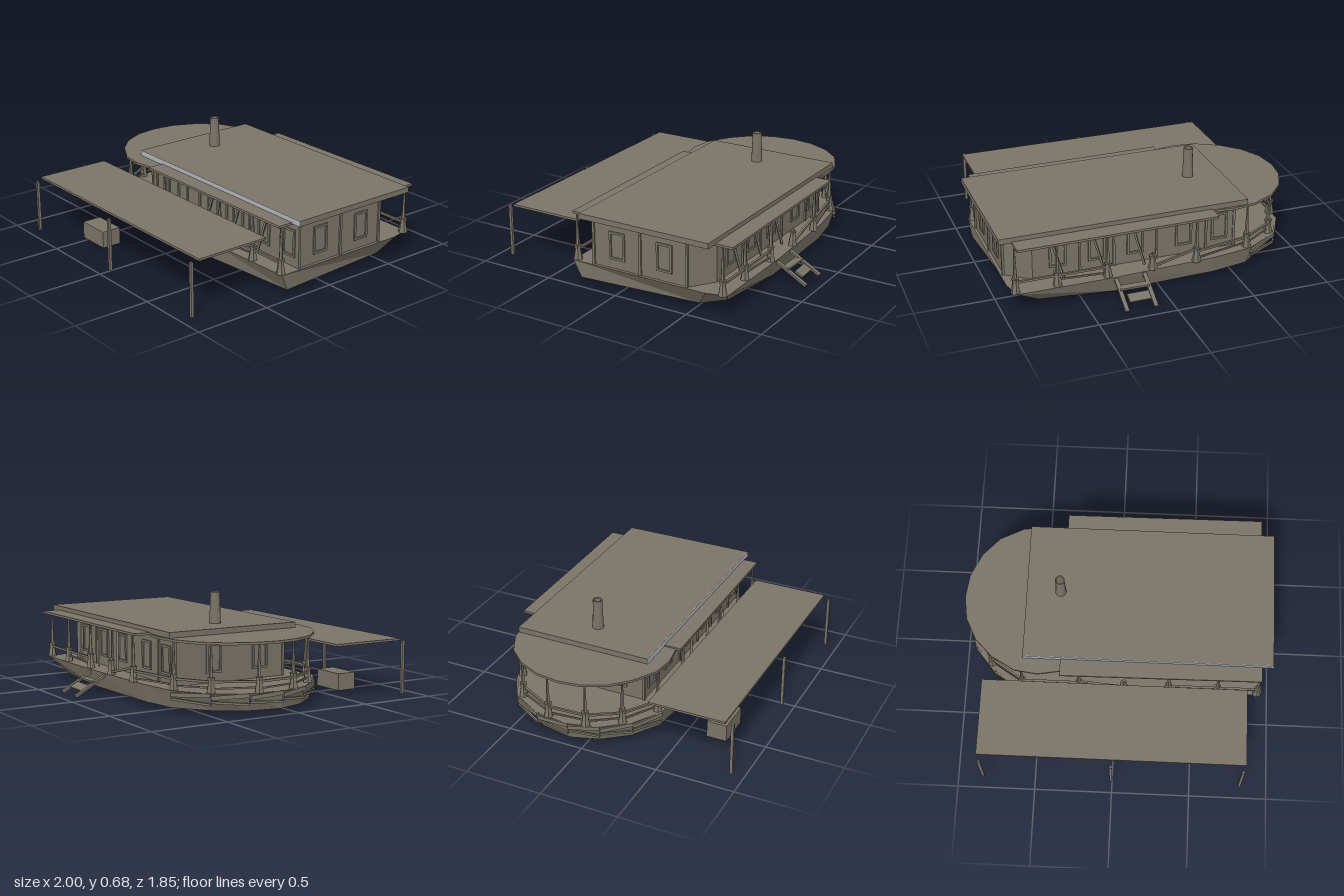
import * as THREE from 'three';

const timber = new THREE.MeshStandardMaterial({ color: 0x7a7468, flatShading: true, side: THREE.DoubleSide });
timber.name = 'weatheredTimber';
const pale = new THREE.MeshStandardMaterial({ color: 0xb4b7bc });
pale.name = 'paleTrim';

export function createModel() {
  const root = new THREE.Group();
  root.name = 'houseboat';

  const add = (name, geo, x = 0, y = 0, z = 0, mat = timber) => {
    const m = new THREE.Mesh(geo, mat);
    m.name = name;
    m.position.set(x, y, z);
    root.add(m);
    return m;
  };
  // Box given by its limits on each axis
  const block = (name, x0, x1, y0, y1, z0, z1, mat) =>
    add(name, new THREE.BoxGeometry(x1 - x0, y1 - y0, z1 - z0), (x0 + x1) / 2, (y0 + y1) / 2, (z0 + z1) / 2, mat);
  // Flat-topped prism from a plan outline of [x, z] points
  const prism = (name, outline, y0, y1) => {
    const shape = new THREE.Shape(outline.map(([x, z]) => new THREE.Vector2(x, -z)));
    const geo = new THREE.ExtrudeGeometry(shape, { depth: y1 - y0, bevelEnabled: false });
    return add(name, geo.rotateX(-Math.PI / 2), 0, y0, 0);
  };
  // Square beam between two points
  const beam = (name, a, b, w = 0.014, h = w) => {
    const p = new THREE.Vector3(...a), q = new THREE.Vector3(...b);
    const m = add(name, new THREE.BoxGeometry(w, h, p.distanceTo(q)));
    m.position.copy(p).add(q).multiplyScalar(0.5);
    m.lookAt(q);
    return m;
  };

  // Hull: straight-sided stern, faceted round bow, bottom drawn in at the corners
  const deckLine = [
    [0.95, 0.34], [0.3, 0.36], [-0.36, 0.36], [-0.62, 0.36], [-0.8, 0.25], [-0.93, 0.09], [-0.98, -0.1],
    [-0.96, -0.32], [-0.85, -0.52], [-0.63, -0.66], [-0.36, -0.7], [0.3, -0.73], [0.92, -0.73], [0.95, -0.6]];
  const keelLine = [
    [0.94, 0.29], [0.3, 0.35], [-0.36, 0.36], [-0.6, 0.34], [-0.78, 0.23], [-0.9, 0.08], [-0.96, -0.1],
    [-0.92, -0.31], [-0.8, -0.49], [-0.6, -0.64], [-0.36, -0.68], [0.3, -0.7], [0.76, -0.64], [0.88, -0.52]];
  const n = deckLine.length, pos = [], idx = [];
  deckLine.forEach(([x, z]) => pos.push(x, 0.14, z));
  keelLine.forEach(([x, z]) => pos.push(x, 0.03, z));
  for (let i = 0; i < n; i++) {
    const j = (i + 1) % n;
    idx.push(i, j, n + i, j, n + j, n + i);
    if (i > 0 && i < n - 1) idx.push(0, i + 1, i, n, n + i, n + i + 1);
  }
  const hull = new THREE.BufferGeometry();
  hull.setAttribute('position', new THREE.Float32BufferAttribute(pos, 3));
  hull.setIndex(idx);
  const hullFlat = hull.toNonIndexed();
  hullFlat.computeVertexNormals();
  add('hull', hullFlat);

  // Loose planks round the bow
  for (let i = 3; i < 9; i++) {
    const [x0, z0] = deckLine[i], [x1, z1] = deckLine[i + 1];
    beam('bowPlank', [x0, 0.13, z0], [x1, 0.115, z1], 0.018, 0.025);
    beam('bowPlank', [x0, 0.075, z0], [x1, 0.09, z1], 0.012, 0.014);
  }

  // Cabin with a cut-off rear corner
  prism('cabin', [[0.93, 0.2], [-0.54, 0.2], [-0.54, -0.58], [0.78, -0.58], [0.93, -0.47]], 0.14, 0.445);
  for (const [x, z] of [[0.932, 0.195], [0.932, -0.14], [0.932, -0.465], [-0.54, 0.198], [-0.54, -0.578]])
    block('cornerBoard', x - 0.008, x + 0.008, 0.14, 0.445, z - 0.008, z + 0.008);
  for (const x of [-0.35, -0.02, 0.26, 0.48, 0.78]) for (const z of [0.203, -0.583])
    if (x < 0.75 || z > 0) block('wallBatten', x - 0.007, x + 0.007, 0.14, 0.445, z - 0.006, z + 0.006);

  // Windows: raised frame round a thin pane
  const windowAt = (x, z, turn, w = 0.11, h = 0.18) => {
    const frame = new THREE.Shape();
    frame.moveTo(-w / 2, -h / 2).lineTo(w / 2, -h / 2).lineTo(w / 2, h / 2).lineTo(-w / 2, h / 2);
    const hole = new THREE.Path(), a = w / 2 - 0.014, b = h / 2 - 0.014;
    hole.moveTo(-a, -b).lineTo(-a, b).lineTo(a, b).lineTo(a, -b);
    frame.holes.push(hole);
    const f = add('windowFrame', new THREE.ExtrudeGeometry(frame, { depth: 0.009, bevelEnabled: false }), x, 0.29, z);
    f.rotation.y = turn;
  };
  for (const z of [0.025, -0.31]) {
    windowAt(0.93, z, Math.PI / 2);
    windowAt(-0.54, z, -Math.PI / 2);
  }
  for (const x of [-0.44, -0.2, 0.12, 0.37, 0.62, 0.85]) windowAt(x, 0.2, 0);
  for (const x of [-0.44, -0.2, 0.12, 0.37, 0.62]) windowAt(x, -0.58, Math.PI);

  // Roofs: round bow canopy, two side awnings and the main slab
  prism('bowCanopy', [
    [-0.36, 0.33], [-0.5, 0.355], [-0.65, 0.335], [-0.8, 0.25], [-0.91, 0.14], [-0.98, 0], [-1, -0.15],
    [-0.98, -0.3], [-0.91, -0.45], [-0.8, -0.57], [-0.65, -0.645], [-0.5, -0.665], [-0.36, -0.65]], 0.428, 0.443);
  prism('frontAwning', [[-0.36, 0.362], [-0.36, 0.18], [0.93, 0.18], [0.93, 0.35]], 0.437, 0.452);
  prism('backAwning', [[-0.36, -0.755], [0.92, -0.765], [0.92, -0.56], [-0.36, -0.56]], 0.437, 0.452);
  block('mainRoof', -0.6, 1, 0.445, 0.48, -0.65, 0.249);
  block('roofFascia', -0.6, 1, 0.445, 0.48, 0.249, 0.253, pale);

  // Open chimney pipe
  add('chimney', new THREE.LatheGeometry([
    [0.036, 0.48], [0.029, 0.655], [0.031, 0.655], [0.031, 0.675], [0.023, 0.675], [0.027, 0.48],
  ].map(([r, y]) => new THREE.Vector2(r, y)), 14), -0.38, 0, -0.2);

  // Deck posts: tapered foot, collar and thin spike
  const post = (x, z, top = 0.43) => {
    add('postFoot', new THREE.CylinderGeometry(0.017, 0.03, 0.075, 6), x, 0.175, z);
    add('postCollar', new THREE.CylinderGeometry(0.025, 0.02, 0.022, 6), x, 0.222, z);
    add('postSpike', new THREE.CylinderGeometry(0.005, 0.014, top - 0.23, 5), x, (top + 0.23) / 2, z);
  };
  const frontX = [-0.61, -0.24, 0.05, 0.34, 0.66, 0.92];
  frontX.forEach(x => {
    post(x, 0.325, x === 0.05 ? 0.25 : 0.437);
    post(x, x < -0.5 ? -0.63 : -0.7, x === 0.05 ? 0.25 : 0.437);
  });
  const bow = [[-0.61, 0.325], [-0.82, 0.19], [-0.94, 0], [-0.95, -0.25], [-0.82, -0.5], [-0.61, -0.63]];
  bow.slice(1, -1).forEach(([x, z]) => post(x, z));

  // Railings, with one fallen length on each side
  for (let i = 0; i < bow.length - 1; i++) {
    const [a, b] = [bow[i], bow[i + 1]];
    beam('bowRail', [a[0], 0.205, a[1]], [b[0], 0.205, b[1]], 0.014);
    beam('bowLowerRail', [a[0], 0.17, a[1]], [b[0], 0.163, b[1]], 0.01);
  }
  for (const [z0, z] of [[0.325, 0.325], [-0.63, -0.7]]) {
    beam('sideRail', [-0.61, 0.205, z0], [-0.24, 0.205, z]);
    beam('sideLowerRail', [-0.61, 0.17, z0], [-0.24, 0.16, z], 0.01);
    beam('fallenRail', [-0.24, 0.225, z], [0.04, 0.155, z]);
    beam('sideRail', [0.34, 0.207, z], [0.93, 0.207, z]);
    beam('sideLowerRail', [0.34, 0.165, z], [0.66, 0.18, z], 0.01);
  }

  // Leaning braces under the awnings
  for (const x of [0.08, 0.34, 0.6]) {
    beam('brace', [x, 0.145, 0.24], [x + 0.075, 0.437, 0.215], 0.013);
    beam('brace', [x, 0.145, -0.64], [x + 0.075, 0.437, -0.6], 0.013);
  }

  // Broken gangway behind the boat
  for (const x of [0.11, 0.295]) beam('gangwayRail', [x, 0.13, -0.71], [x, 0.008, -0.925], 0.026, 0.014);
  beam('gangwayStep', [0.11, 0.09, -0.785], [0.295, 0.09, -0.78], 0.05, 0.012);
  const loose = block('looseStep', 0.11, 0.265, 0.045, 0.057, -0.88, -0.82);
  loose.rotation.set(-0.5, 0.05, 0.08);

  // Landing shelter in front: flat roof, three posts and a crate
  block('shelterRoof', -0.86, 0.845, 0.347, 0.361, 0.38, 0.875);
  for (const x of [-0.84, -0.008, 0.825]) block('shelterPost', x - 0.009, x + 0.009, 0, 0.345, 0.907, 0.925);
  block('crate', -0.55, -0.32, 0, 0.11, 0.63, 0.76);

  return root;
}
